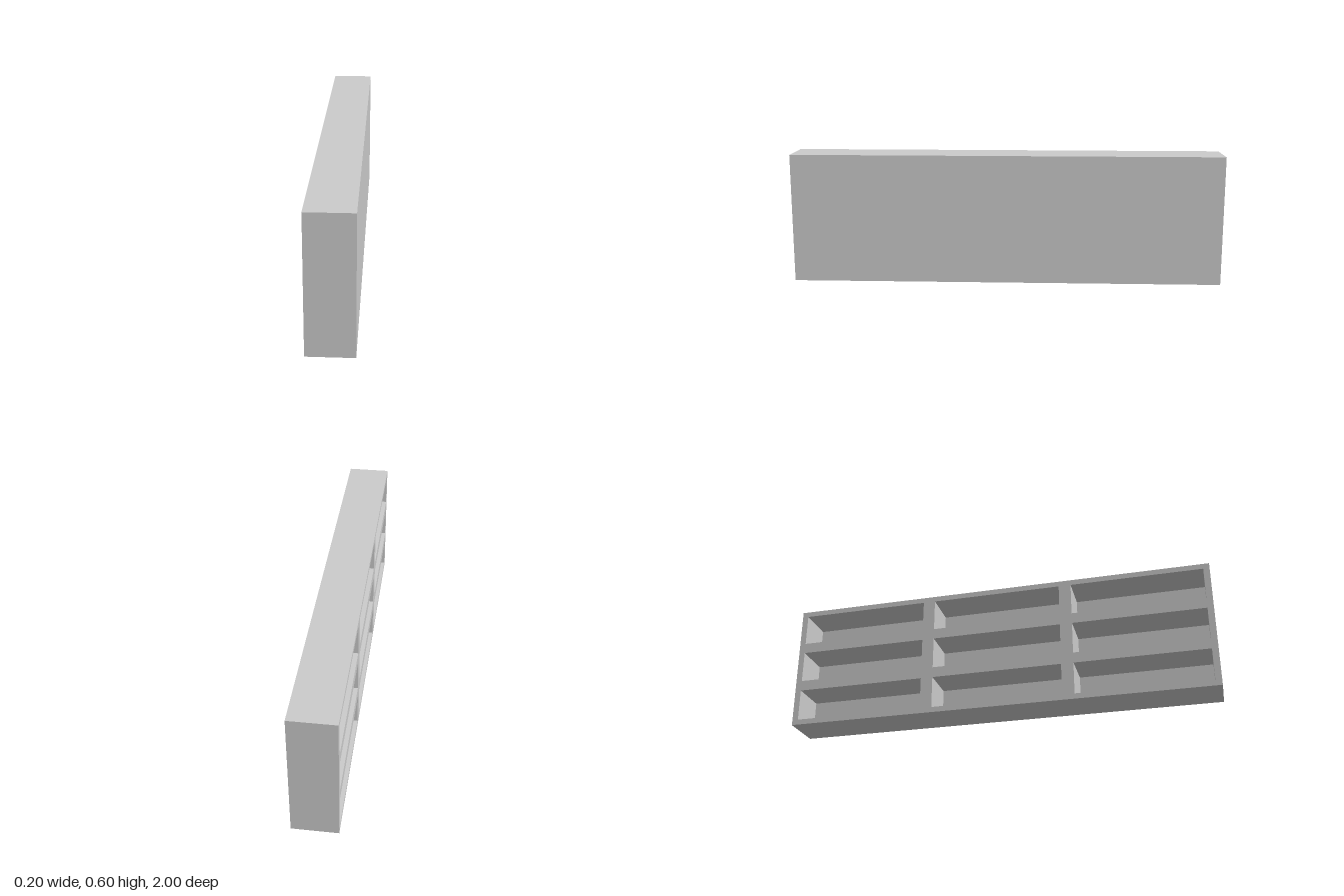
import * as THREE from 'three';

const LENGTH = 2, HEIGHT = 0.6, DEPTH = 0.2, BACK = 0.025;
const COLS = 3, ROWS = 3, OPEN_W = 0.61, OPEN_H = 0.15;

// Rectangle outline centred on (cx, cy)
function rect(PathType, cx, cy, w, h) {
  return new PathType([
    new THREE.Vector2(cx - w / 2, cy - h / 2),
    new THREE.Vector2(cx + w / 2, cy - h / 2),
    new THREE.Vector2(cx + w / 2, cy + h / 2),
    new THREE.Vector2(cx - w / 2, cy + h / 2),
  ]);
}

export function createModel() {
  const group = new THREE.Group();
  group.name = 'shelfUnit';
  const material = new THREE.MeshStandardMaterial({ color: 0xcccccc, flatShading: true });

  // Frame with a grid of compartments, open towards -x
  const outline = rect(THREE.Shape, 0, HEIGHT / 2, LENGTH, HEIGHT);
  for (let c = 0; c < COLS; c++) {
    for (let r = 0; r < ROWS; r++) {
      const cz = -LENGTH / 2 + (c + 0.5) * (LENGTH / COLS);
      const cy = (r + 0.5) * (HEIGHT / ROWS);
      outline.holes.push(rect(THREE.Path, cz, cy, OPEN_W, OPEN_H));
    }
  }
  const frameGeometry = new THREE.ExtrudeGeometry(outline, { depth: DEPTH - BACK, bevelEnabled: false });
  frameGeometry.rotateY(-Math.PI / 2);
  frameGeometry.translate(DEPTH / 2 - BACK, 0, 0);
  const frame = new THREE.Mesh(frameGeometry, material);
  frame.name = 'compartmentFrame';

  // Solid panel closing the compartments on the +x side
  const backPanel = new THREE.Mesh(new THREE.BoxGeometry(BACK, HEIGHT, LENGTH), material);
  backPanel.position.set(DEPTH / 2 - BACK / 2, HEIGHT / 2, 0);
  backPanel.name = 'backPanel';

  group.add(frame, backPanel);
  return group;
}
